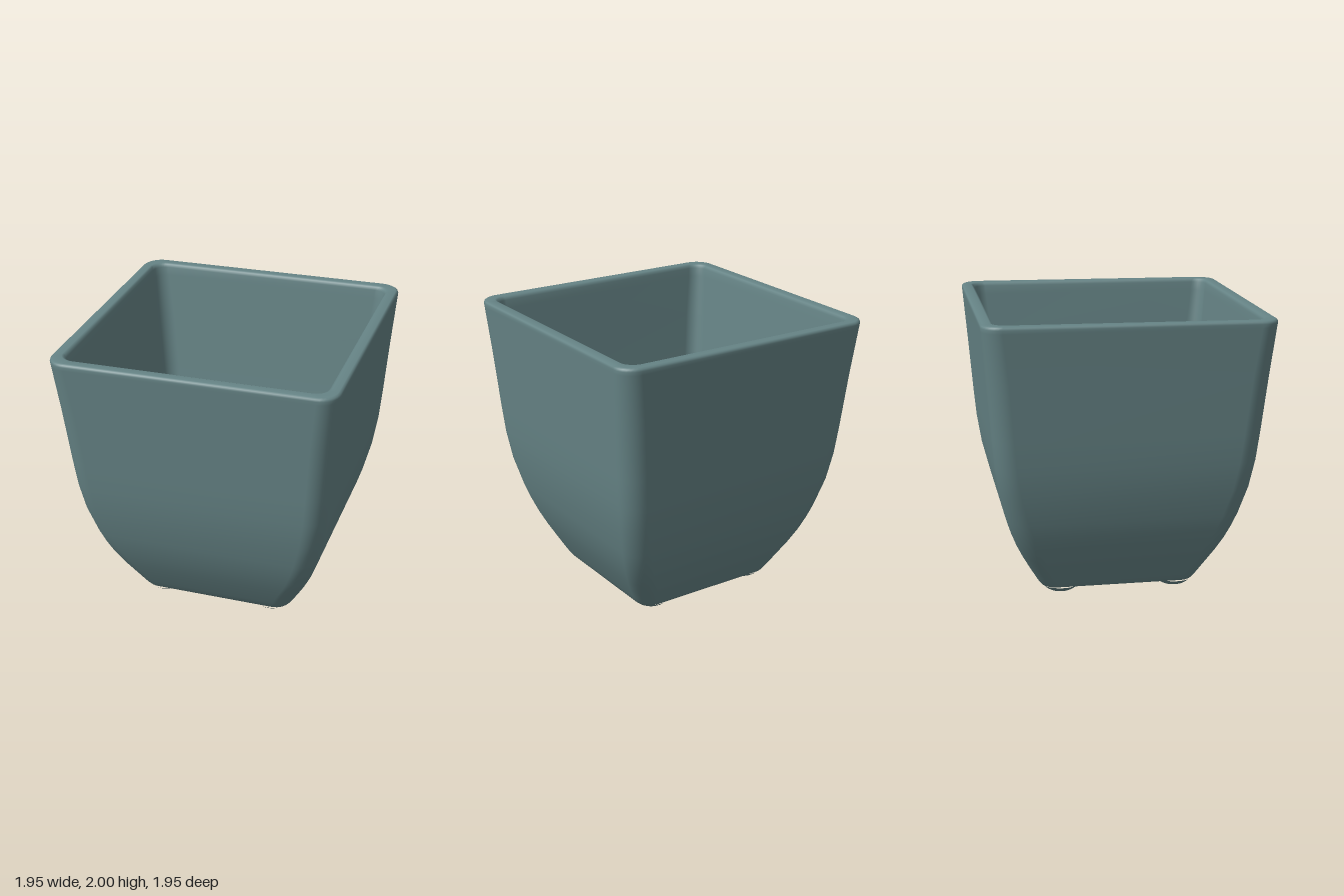
import * as THREE from 'three';

const glaze = new THREE.MeshStandardMaterial({ color: 0x668486 });
glaze.name = 'grey teal glaze';

// Rounded square outline, counter-clockwise, as Vector2 points
function roundedSquare(half, radius, steps = 8) {
  const pts = [];
  for (let c = 0; c < 4; c++) {
    const mid = Math.PI / 4 + c * Math.PI / 2;
    const cx = Math.sign(Math.cos(mid)) * (half - radius);
    const cy = Math.sign(Math.sin(mid)) * (half - radius);
    for (let k = 0; k <= steps; k++) {
      const a = (c + k / steps) * Math.PI / 2;
      pts.push(new THREE.Vector2(cx + radius * Math.cos(a), cy + radius * Math.sin(a)));
    }
  }
  return pts;
}

// Loft of [half width, height, corner radius] rings; the pot leans slightly
function loft(rings) {
  const pos = [], idx = [];
  let n = 0;
  rings.forEach(([half, y, radius], i) => {
    const pts = roundedSquare(half, radius);
    n = pts.length;
    const low = 1 - y / 2;
    for (const p of pts) {
      const tilt = (0.008 * p.x - 0.006 * p.y) * y / 2;
      pos.push(p.x + 0.028 * low, y + tilt, p.y - 0.015 * low);
    }
    if (i === 0) return;
    for (let j = 0; j < n; j++) {
      const a = (i - 1) * n + j, b = (i - 1) * n + (j + 1) % n;
      idx.push(a, a + n, b, b, a + n, b + n);
    }
  });
  const g = new THREE.BufferGeometry();
  g.setAttribute('position', new THREE.Float32BufferAttribute(pos, 3));
  g.setIndex(idx);
  g.computeVertexNormals();
  return g;
}

// Horizontal slab of the floor pierced by round [x, z, radius] holes
function slab(half, bottom, height, holes) {
  const shape = new THREE.Shape(roundedSquare(half, 0.1));
  for (const [x, z, r] of holes) {
    shape.holes.push(new THREE.Path().absarc(x, -z, r, 0, Math.PI * 2, true));
  }
  const g = new THREE.ExtrudeGeometry(shape, { depth: height, bevelEnabled: false, curveSegments: 24 });
  g.rotateX(-Math.PI / 2);
  g.translate(0.026, bottom, -0.015);
  return g;
}

export function createModel() {
  const pot = new THREE.Group();
  pot.name = 'planter';
  const add = (name, geometry) => {
    const mesh = new THREE.Mesh(geometry, glaze);
    mesh.name = name;
    pot.add(mesh);
    return mesh;
  };

  // Wall: up the outside, over the rounded rim, down the inside
  add('wall', loft([
    [0.515, 0.047, 0.1], [0.54, 0.052, 0.11], [0.558, 0.075, 0.12], [0.585, 0.12, 0.13],
    [0.63, 0.2, 0.14], [0.683, 0.3, 0.14], [0.73, 0.4, 0.14], [0.769, 0.5, 0.14],
    [0.802, 0.6, 0.14], [0.855, 0.8, 0.14], [0.888, 1.0, 0.14], [0.908, 1.2, 0.14],
    [0.943, 1.6, 0.14], [0.974, 1.94, 0.13], [0.977, 1.965, 0.13], [0.973, 1.979, 0.13],
    [0.96, 1.987, 0.12], [0.91, 1.987, 0.1], [0.895, 1.98, 0.09], [0.887, 1.96, 0.09],
    [0.882, 1.9, 0.09], [0.855, 1.6, 0.1], [0.82, 1.2, 0.1], [0.8, 1.0, 0.1],
    [0.765, 0.8, 0.1], [0.712, 0.6, 0.1], [0.64, 0.4, 0.1], [0.565, 0.22, 0.1],
    [0.54, 0.17, 0.09], [0.515, 0.147, 0.08], [0.48, 0.139, 0.07],
  ]));

  // Floor: four drain holes, with a shallow round recess underneath
  const drains = [[0, -0.36, 0.06], [0, 0.355, 0.06], [-0.365, 0, 0.06], [0.35, 0, 0.06]];
  add('floorUnderside', slab(0.525, 0.05, 0.015, [...drains, [0, 0, 0.2]]));
  add('floor', slab(0.525, 0.065, 0.075, drains));

  // Four low rounded feet
  const footProfile = [[0, 0], [0.06, 0.001], [0.085, 0.006], [0.105, 0.018], [0.125, 0.035], [0.15, 0.052]]
    .map(([r, y]) => new THREE.Vector2(r, y));
  const footShape = new THREE.LatheGeometry(footProfile, 28);
  for (const x of [-0.385, 0.425]) {
    for (const z of [-0.415, 0.395]) add('foot', footShape).position.set(x, 0, z);
  }
  return pot;
}
